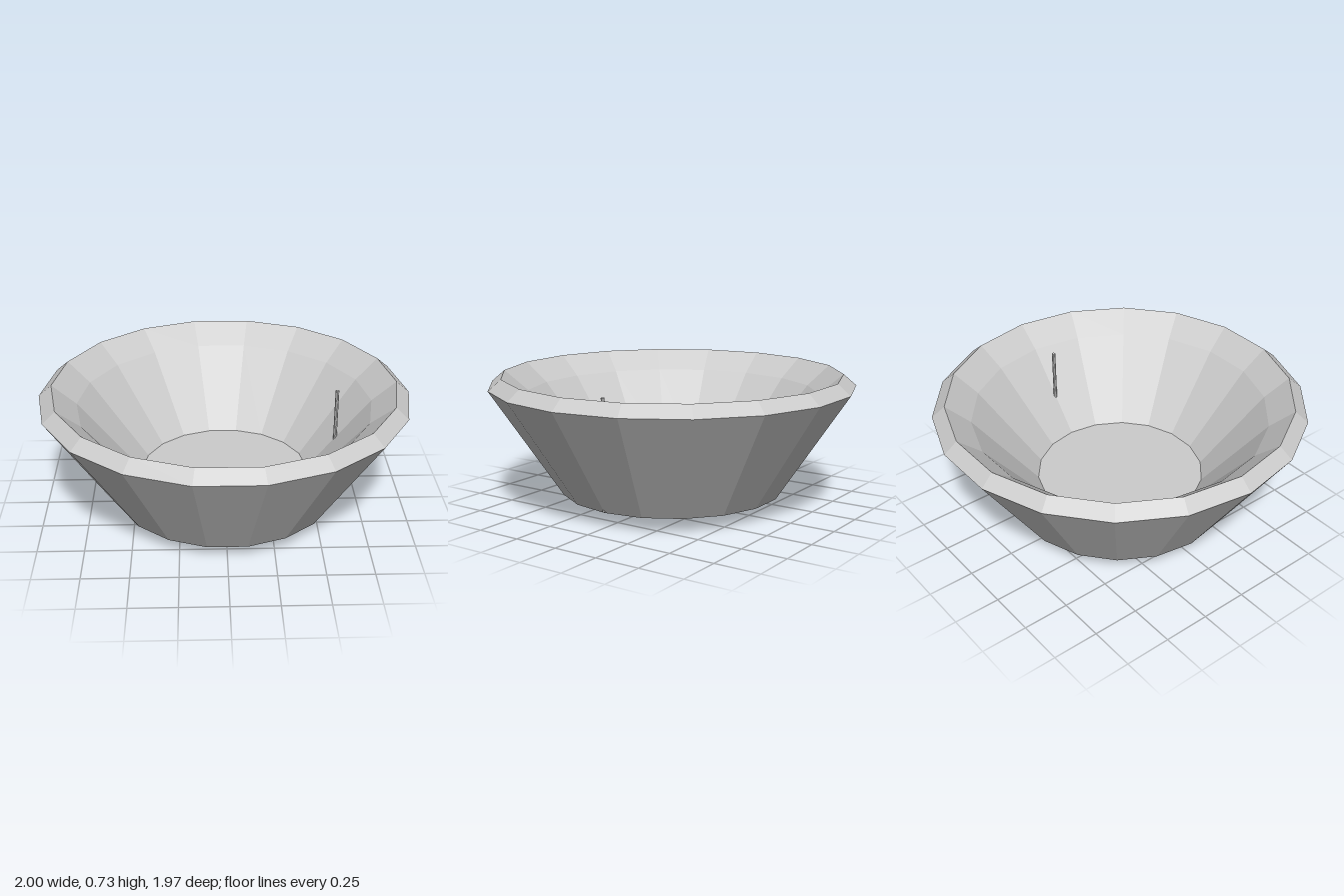
import * as THREE from 'three';

export function createModel() {
  const model = new THREE.Group();
  const material = new THREE.MeshStandardMaterial({ color: 0xcccccc, flatShading: true });

  // Bowl: closed profile from the underside, over the rim, down to the inner floor
  const profile = [
    [0, 0], [0.34, 0], [0.61, 0.08], [1, 0.67], [0.93, 0.73],
    [0.8, 0.62], [0.46, 0.21], [0, 0.21],
  ].map(([r, y]) => new THREE.Vector2(r, y));
  const bowl = new THREE.Mesh(new THREE.LatheGeometry(profile, 18, Math.PI / 2), material);
  bowl.name = 'bowl';
  model.add(bowl);

  // Thin upright rod that passes through the side wall
  const bottom = 0.085, top = 0.68;
  const rod = new THREE.Mesh(new THREE.CylinderGeometry(0.01, 0.01, top - bottom, 8), material);
  rod.name = 'rod';
  rod.position.set(0.612, (top + bottom) / 2, 0);
  model.add(rod);

  return model;
}
